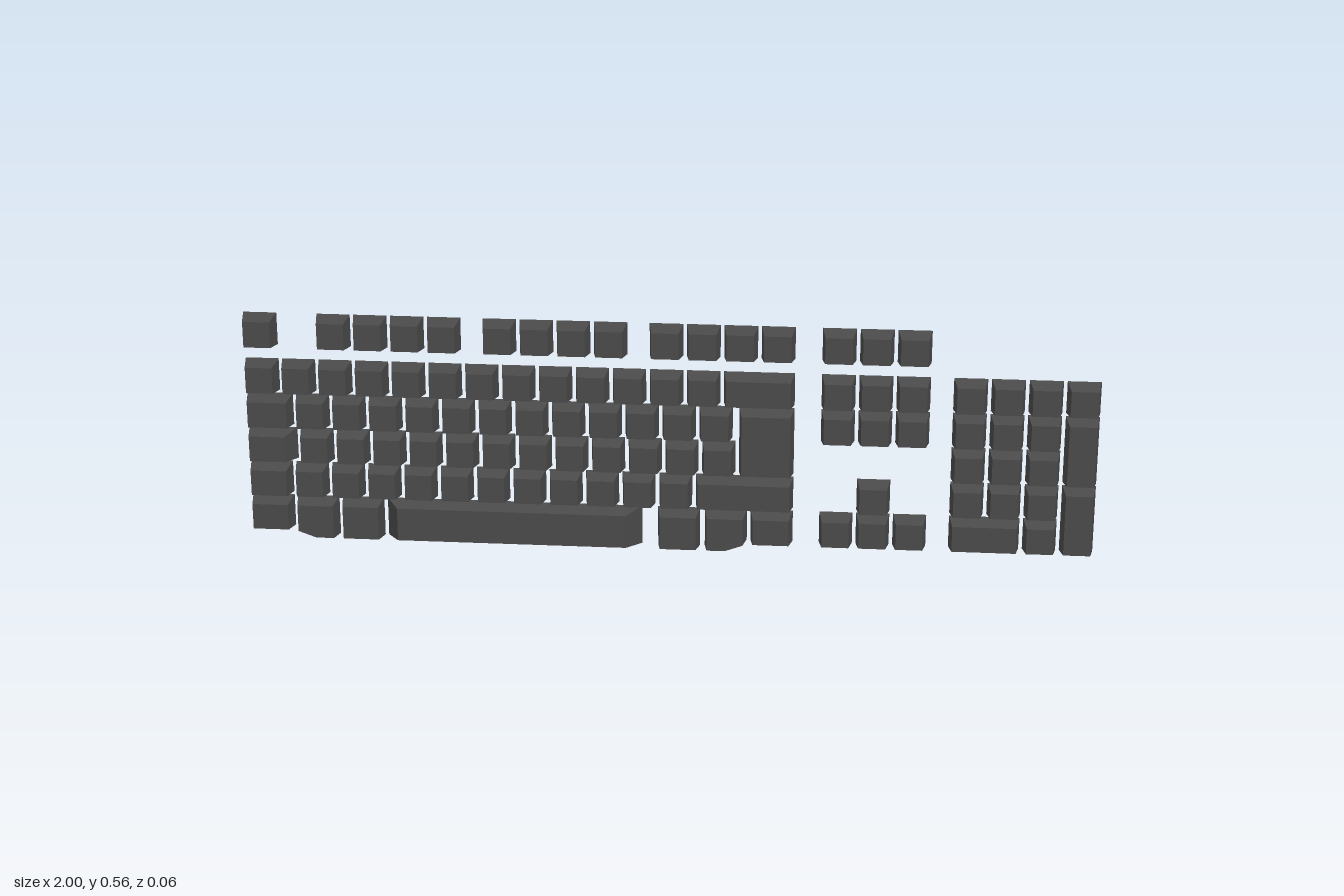
import * as THREE from 'three';

const U = 0.0868;      // key pitch
const GAP = 0.0085;    // space between keys
const INSET = 0.0075;  // taper of a cap towards its face
const BACK = -0.02, DEPTH = 0.05;
const ROWS = [0.481, 0.367, 0.2805, 0.194, 0.107, 0.0203]; // bottom edge of each row

export function createModel() {
  const group = new THREE.Group();
  const plastic = new THREE.MeshStandardMaterial({ color: 0x4a4a4a });
  plastic.name = 'dark grey plastic';

  function add(parent, geometry, name) {
    const mesh = new THREE.Mesh(geometry, plastic);
    mesh.name = name;
    parent.add(mesh);
    return mesh;
  }

  // Tapered cap with a small mounting block behind it.
  // x0: left edge, units: width in key pitches, row: index of its lowest row.
  function key(name, x0, units, row, o = {}) {
    const x1 = x0 + units * U - GAP;
    const yRow = ROWS[row];
    const y0 = yRow - (o.drop || 0);
    const y1 = ROWS[row - (o.tall ? 1 : 0)] + U - GAP;
    const cx = (x0 + x1) / 2;

    const points = [[x0, y0], [x1, y0], [x1, y1], [x0, y1]];
    if (o.chamfer === 'right') points.splice(1, 1, [x1 - 0.05, y0], [x1, yRow]);
    if (o.chamfer === 'left') points.splice(0, 1, [x0, yRow], [x0 + 0.05, y0]);
    const shape = new THREE.Shape(points.map(p => new THREE.Vector2(...p)));
    const geometry = new THREE.ExtrudeGeometry(shape, { depth: DEPTH, bevelEnabled: false });

    // Shrink the front outline to slope the sides
    const left = o.insetLeft || INSET, right = o.insetRight || INSET;
    const pos = geometry.attributes.position;
    for (let i = 0; i < pos.count; i++) {
      if (pos.getZ(i) < DEPTH / 2) continue;
      const s = (pos.getX(i) - x0) / (x1 - x0);
      const t = (pos.getY(i) - y0) / (y1 - y0);
      pos.setX(i, x0 + left + s * (x1 - x0 - left - right));
      pos.setY(i, y0 + INSET + t * (y1 - y0 - 2 * INSET));
    }
    geometry.translate(0, 0, BACK);
    geometry.computeVertexNormals();

    const keyGroup = new THREE.Group();
    keyGroup.name = name;
    add(keyGroup, geometry, 'cap');
    const mount = add(keyGroup, new THREE.BoxGeometry(o.mountWidth || 0.0435, 0.0435, 0.01), 'mount');
    mount.position.set(o.mountX ?? cx, yRow + (U - GAP) / 2 + (o.tall ? 0.0153 : 0), BACK - 0.0045);
    group.add(keyGroup);
  }

  // A run of single-width keys
  function run(name, x0, row, count) {
    for (let i = 0; i < count; i++) key(name, x0 + i * U, 1, row);
  }

  const L = -1, NAV = 0.356, PAD = 0.6613;
  const END = L + 15 * U;
  const at = units => L + units * U;

  // Function row
  run('escapeKey', L, 0, 1);
  for (const start of [2, 6.5, 11]) run('functionKey', at(start), 0, 4);

  // Number row
  run('numberKey', L, 1, 13);
  key('backspaceKey', at(13), 2, 1, { mountX: 0.19 });

  // Letter rows
  key('tabKey', L, 1.34, 2);
  run('letterKey', at(1.34), 2, 12);
  key('capsKey', L, 1.42, 3, { insetRight: 0.022, mountX: -0.95 });
  run('letterKey', at(1.42), 3, 12);
  key('returnKey', at(13.42), 1.58, 3, { tall: true, mountX: 0.268, mountWidth: 0.036 });
  key('leftShiftKey', L, 1.25, 4);
  run('letterKey', at(1.25), 4, 11);
  key('rightShiftKey', at(12.25), 2.75, 4);

  // Bottom row, with the middle keys reaching lower
  const drop = 0.0183;
  key('controlKey', L, 1.25, 5);
  key('modifierKey', at(1.25), 1.25, 5, { drop, chamfer: 'left' });
  key('modifierKey', at(2.5), 1.25, 5, { drop });
  key('spaceBar', at(3.75), 7.5 - 0.37, 5,
    { drop, insetLeft: 0.03, insetRight: 0.035, mountX: -0.34, mountWidth: 0.49 });
  key('modifierKey', END - 3.78 * U, 1.25, 5, { drop });
  key('modifierKey', at(12.5), 1.25, 5, { drop, chamfer: 'right' });
  key('controlKey', at(13.75), 1.25, 5);

  // Navigation cluster
  for (const row of [0, 1, 2]) run('navigationKey', NAV, row, 3);
  run('arrowKey', NAV + U, 4, 1);
  run('arrowKey', NAV, 5, 3);

  // Number pad
  run('padKey', PAD, 1, 4);
  for (const row of [2, 3, 4]) run('padKey', PAD, row, 3);
  key('padTallKey', PAD + 3 * U, 1, 3, { tall: true });
  key('padTallKey', PAD + 3 * U, 1, 5, { tall: true });
  key('padWideKey', PAD, 2, 5, { mountX: 0.71 });
  run('padKey', PAD + 2 * U, 5, 1);

  return group;
}
